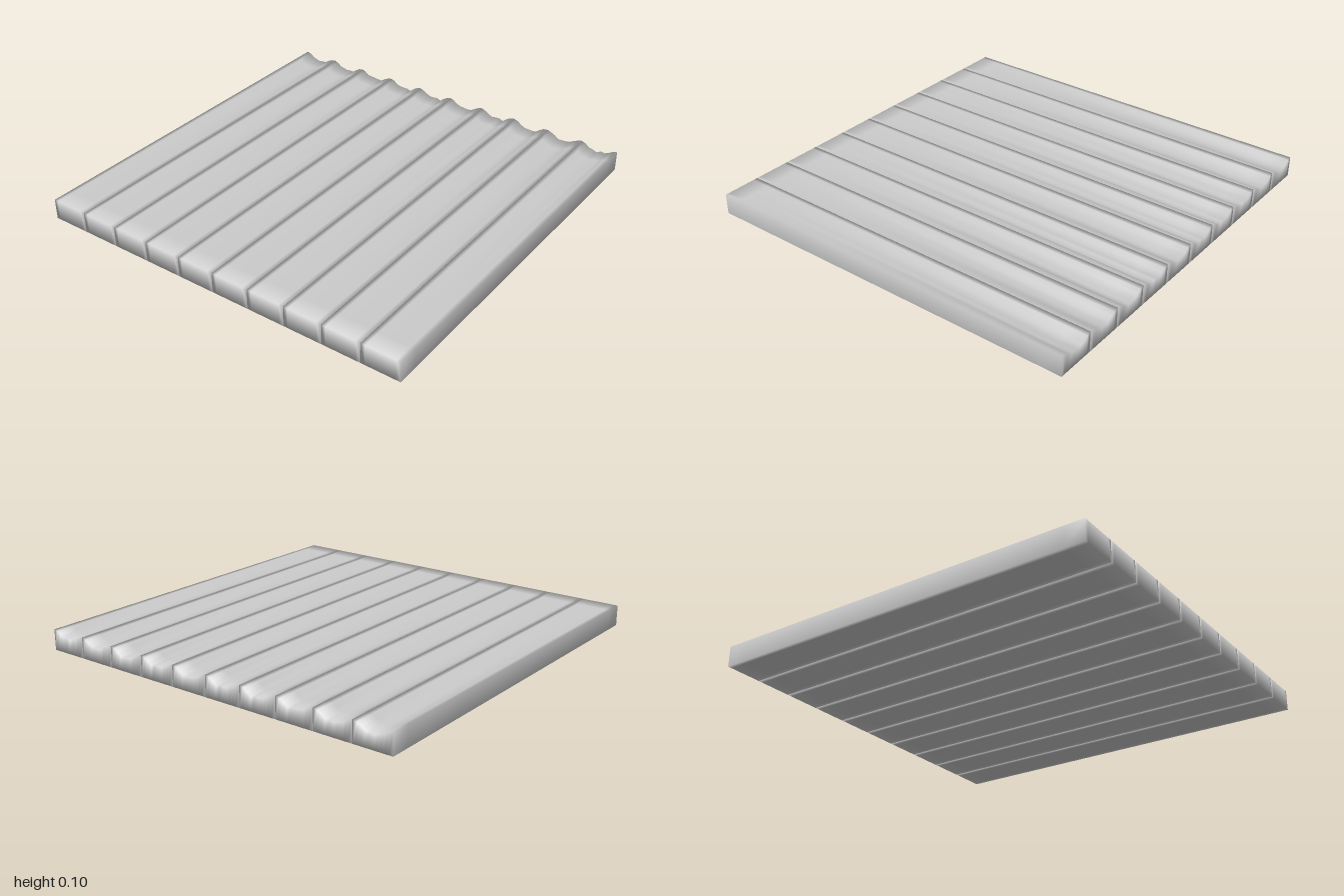
import * as THREE from 'three';

const PLANKS = 10, WIDTH = 0.2, HEIGHT = 0.105, GAP = 0.002;
// how far the worn top sinks across a plank, at the rear end
const WEAR = [0, 0.008, 0.022, 0.031, 0.034, 0.032, 0.033, 0.018, 0.006, 0];
const ROWS = [1, 0.9, 0.6, 0.2, -0.2, -0.5, -0.75, -0.9, -1];

function seeded(seed) {
  return () => {
    seed = (seed * 16807) % 2147483647;
    return seed / 2147483647;
  };
}

// One board: cross-sections swept from front to rear, softly shaded
function plankGeometry(x0, x1, random) {
  const n = WEAR.length, ring = 2 * n;
  const depth = WEAR.map((d) => d * (0.8 + 0.35 * random()));
  const positions = [], index = [];
  for (const z of ROWS) {
    const wear = Math.pow((1 - z) / 2, 1.5);
    for (let i = 0; i < n; i++) {
      positions.push(THREE.MathUtils.lerp(x0, x1, i / (n - 1)), HEIGHT - depth[i] * wear, z);
    }
    for (let i = n - 1; i >= 0; i--) {
      positions.push(THREE.MathUtils.lerp(x0, x1, i / (n - 1)), 0, z);
    }
  }
  // top, sides and underside
  for (let r = 0; r < ROWS.length - 1; r++) {
    for (let i = 0; i < ring; i++) {
      const a = r * ring + i, b = r * ring + (i + 1) % ring;
      index.push(a, b, a + ring, b, b + ring, a + ring);
    }
  }
  // front and rear ends
  const last = (ROWS.length - 1) * ring;
  for (let i = 0; i < n - 1; i++) {
    const a = i, b = i + 1, c = ring - 2 - i, d = ring - 1 - i;
    index.push(a, d, c, a, c, b);
    index.push(last + a, last + c, last + d, last + a, last + b, last + c);
  }
  const geometry = new THREE.BufferGeometry();
  geometry.setAttribute('position', new THREE.Float32BufferAttribute(positions, 3));
  geometry.setIndex(index);
  geometry.computeVertexNormals();
  return geometry;
}

export function createModel() {
  const group = new THREE.Group();
  group.name = 'plankFloor';
  const material = new THREE.MeshStandardMaterial({ color: 0xcccccc });
  const random = seeded(71);
  for (let k = 0; k < PLANKS; k++) {
    // outer edges stay flush, inner edges leave a fine seam
    const x0 = -1 + k * WIDTH + (k > 0 ? GAP / 2 : 0);
    const x1 = -1 + (k + 1) * WIDTH - (k < PLANKS - 1 ? GAP / 2 : 0);
    const plank = new THREE.Mesh(plankGeometry(x0, x1, random), material);
    plank.name = `plank${k + 1}`;
    group.add(plank);
  }
  return group;
}
